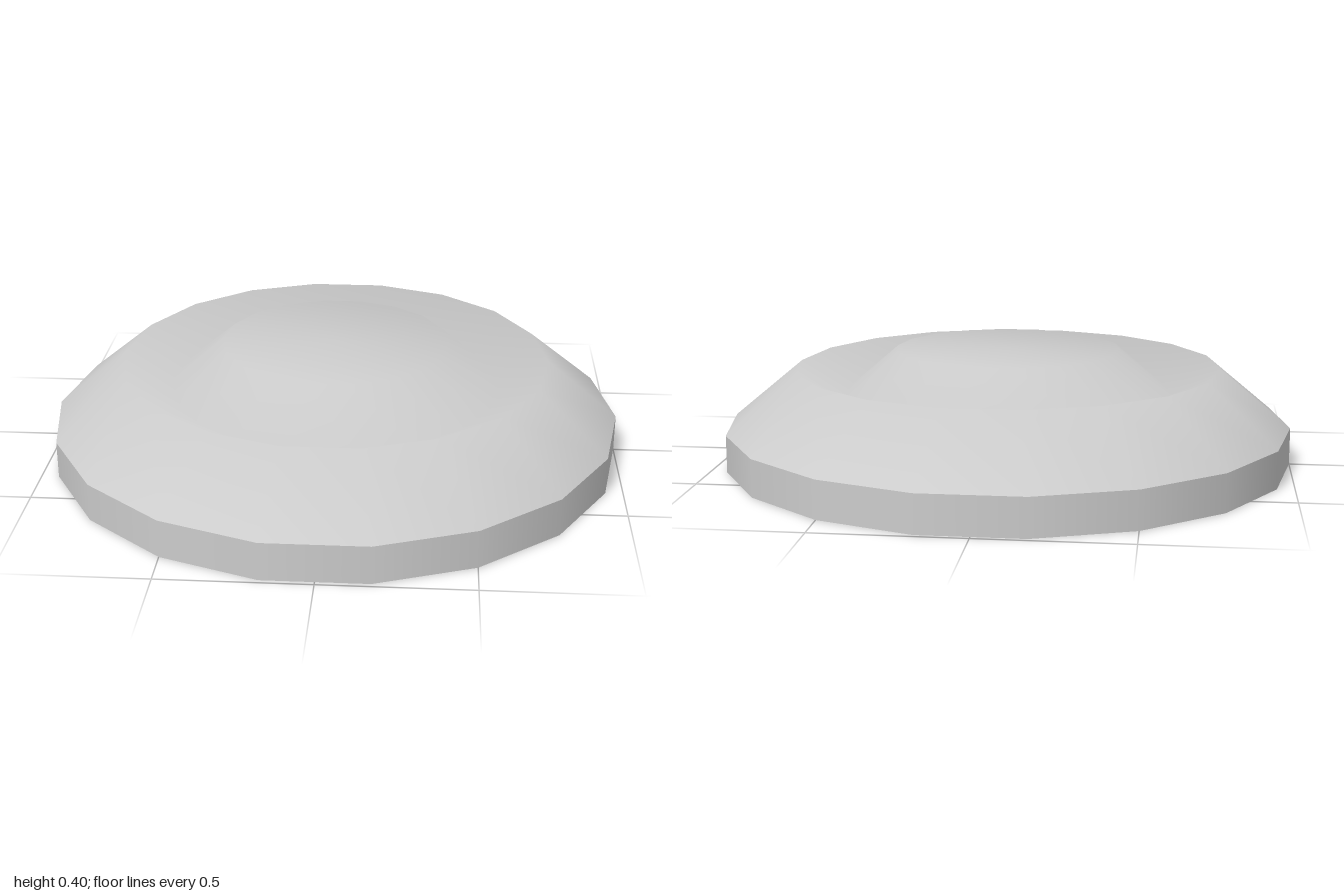
import * as THREE from 'three';

const SIDES = 18;

// Open surface of revolution with a corner on the x axis
function ring(name, profile, material) {
  const points = profile.map(([r, y]) => new THREE.Vector2(r, y));
  const mesh = new THREE.Mesh(new THREE.LatheGeometry(points, SIDES, Math.PI / 2), material);
  mesh.name = name;
  return mesh;
}

export function createModel() {
  const group = new THREE.Group();
  group.name = 'roundLid';
  const material = new THREE.MeshStandardMaterial({ color: 0xcccccc, side: THREE.DoubleSide });

  // Upright band around the open underside
  group.add(ring('rimBand', [[1, 0], [1, 0.13]], material));

  // Sloping shoulder, sunken groove and raised flat centre, smooth throughout
  group.add(ring('domedTop', [
    [1, 0.13], [0.75, 0.337], [0.58, 0.24], [0.397, 0.398], [0, 0.398],
  ], material));

  return group;
}
